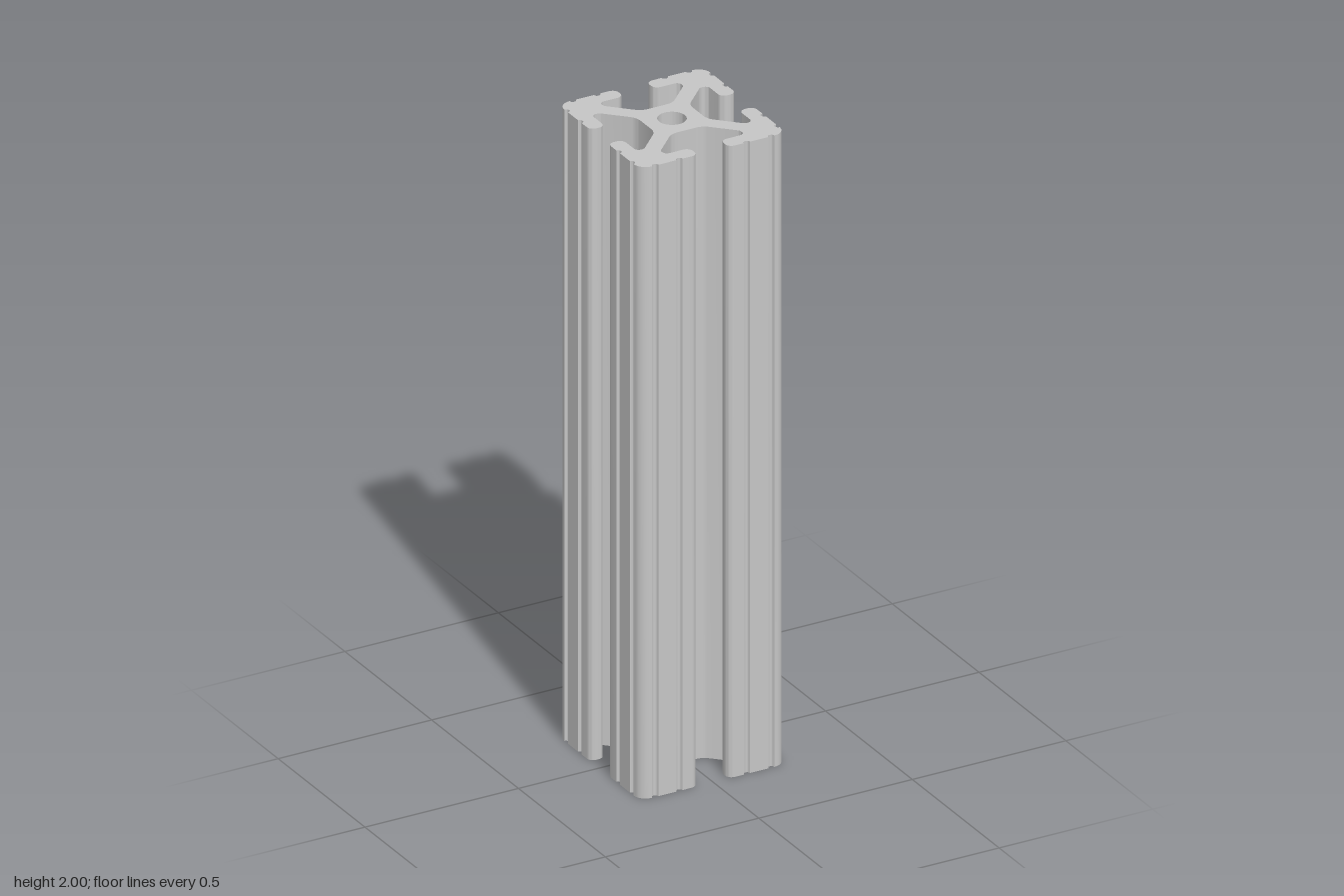
import * as THREE from 'three';
import { toCreasedNormals } from 'three/addons/utils/BufferGeometryUtils.js';

const HEIGHT = 2;
const HALF = 0.238; // half the outer width

// Replace each corner [x, y, radius] of a closed polygon with a tangent arc.
function roundCorners(corners, steps = 6) {
  const points = [];
  corners.forEach(([x, y, r], i) => {
    const p = new THREE.Vector2(x, y);
    if (!r) { points.push(p); return; }
    const n = corners.length;
    const before = corners[(i + n - 1) % n], after = corners[(i + 1) % n];
    const u = new THREE.Vector2(before[0], before[1]).sub(p).normalize();
    const v = new THREE.Vector2(after[0], after[1]).sub(p).normalize();
    const half = Math.acos(u.dot(v)) / 2;
    const sweep = (Math.PI - 2 * half) * Math.sign(v.cross(u));
    const centre = u.clone().add(v).normalize().multiplyScalar(r / Math.sin(half)).add(p);
    const start = u.clone().multiplyScalar(r / Math.tan(half)).add(p);
    for (let k = 0; k <= steps; k++) {
      points.push(start.clone().rotateAround(centre, sweep * k / steps));
    }
  });
  // Drop coincident points where two arcs meet.
  return points.filter((p, i) => p.distanceTo(points[(i + 1) % points.length]) > 1e-5);
}

// Small half-round groove in the outer face.
function groove(x, r = 0.01) {
  return [[x - r, HALF, 0], [x - r, HALF - r, r], [x + r, HALF - r, r], [x + r, HALF, 0]];
}

export function createModel() {
  const aluminium = new THREE.MeshStandardMaterial({ color: 0xc6c6c6 });
  aluminium.name = 'aluminium';

  // One eighth of the section: core, diagonal rib, slot pocket, lip, grooves.
  const eighth = [
    [0.051, 0.085, 0.05],
    [0.13, 0.164, 0.015],
    [0.13, 0.189, 0.015],
    [0.05, 0.189, 0.02],
    [0.05, HALF, 0.02],
    ...groove(0.11),
    ...groove(0.189),
  ];
  const quarter = [
    ...eighth,
    [HALF, HALF, 0.038],
    ...eighth.map(([x, y, r]) => [y, x, r]).reverse(),
  ];

  // Turn the quarter clockwise around the axis.
  const corners = [];
  for (let q = 0; q < 4; q++) {
    for (const [x, y, r] of quarter) {
      corners.push([[x, y, r], [y, -x, r], [-x, -y, r], [-y, x, r]][q]);
    }
  }

  // The bore runs opposite to the outline so its wall faces inward.
  const section = new THREE.Shape(roundCorners(corners));
  const bore = new THREE.Path();
  bore.absarc(0, 0, 0.042, 0, Math.PI * 2, false);
  section.holes.push(bore);

  const extruded = new THREE.ExtrudeGeometry(section, {
    depth: HEIGHT, bevelEnabled: false, curveSegments: 32,
  });
  extruded.rotateX(-Math.PI / 2);
  const rail = new THREE.Mesh(toCreasedNormals(extruded, 0.6), aluminium);
  rail.name = 'slottedRail';

  const model = new THREE.Group();
  model.name = 'slottedExtrusion';
  model.add(rail);
  return model;
}
